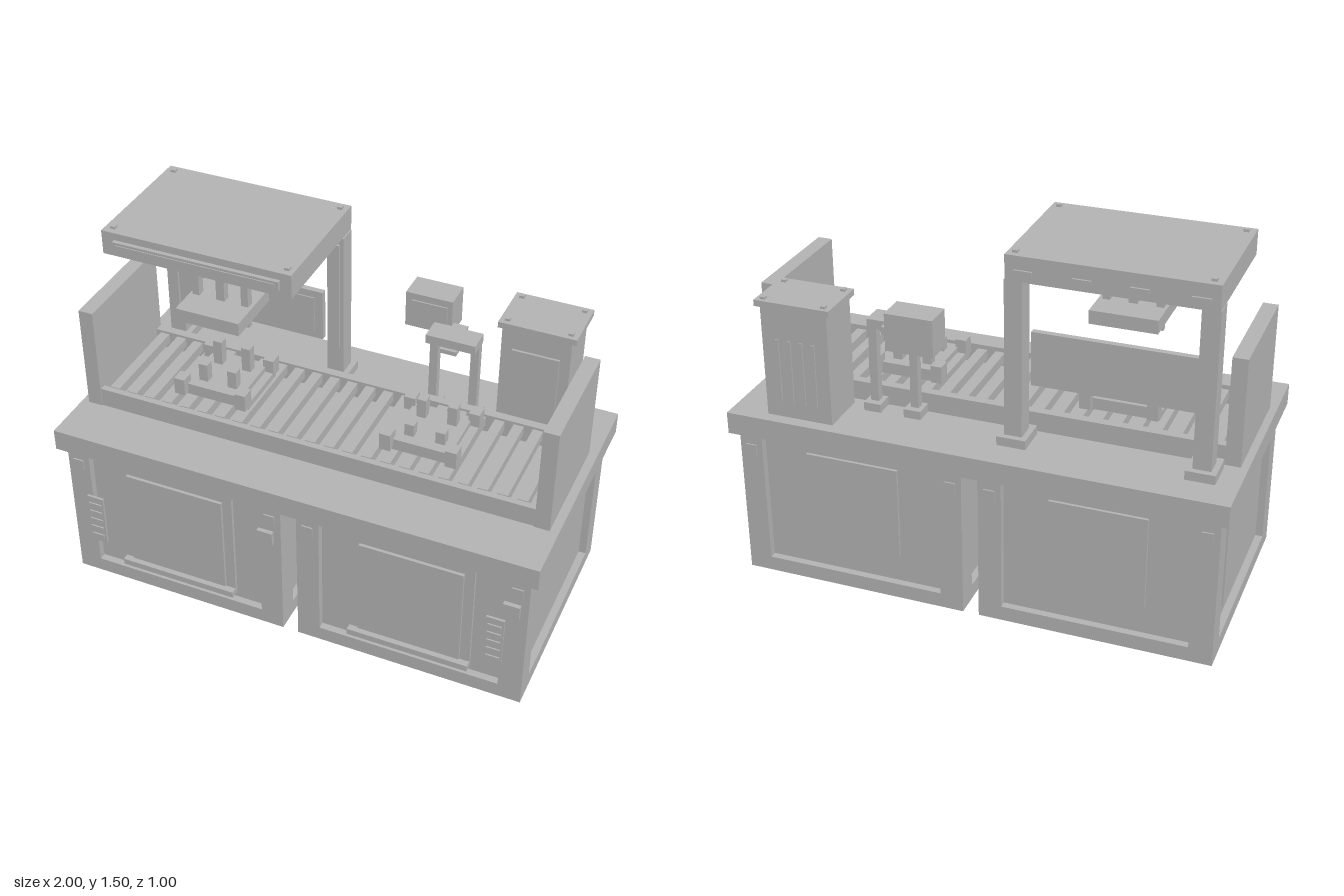
import * as THREE from 'three';

const grey = new THREE.MeshStandardMaterial({ color: 0xb2b2b2 });
grey.name = 'machineGrey';

// Box given by its extents on each axis
function box(parent, name, [x0, x1], [y0, y1], [z0, z1]) {
  const m = new THREE.Mesh(new THREE.BoxGeometry(x1 - x0, y1 - y0, z1 - z0), grey);
  m.position.set((x0 + x1) / 2, (y0 + y1) / 2, (z0 + z1) / 2);
  m.name = name;
  parent.add(m);
  return m;
}
const span = (c, w) => [c - w / 2, c + w / 2];

function group(parent, name) {
  const g = new THREE.Group();
  g.name = name;
  parent.add(g);
  return g;
}

// Cabinet with corner posts, recessed walls and a front door; s = outer side
function cabinet(root, s) {
  const g = group(root, s > 0 ? 'leftCabinet' : 'rightCabinet');
  g.position.x = s * 0.5;
  box(g, 'cabinetBody', [-0.437, 0.437], [0.03, 0.63], [-0.44, 0.44]);
  box(g, 'baseFrame', [-0.467, 0.467], [0, 0.062], [-0.47, 0.47]);
  for (const x of [-1, 1]) for (const z of [-1, 1]) {
    box(g, 'cornerPost', span(x * 0.42, 0.094), [0.062, 0.63], span(z * 0.4225, 0.095));
    box(g, 'postPlate', span(x * 0.42, 0.045), [0.535, 0.58], span(z * 0.472, 0.008));
  }
  box(g, 'doorFrame', [-0.25, 0.25], [0.09, 0.595], [0.44, 0.455]);
  box(g, 'doorPanel', [-0.21, 0.21], [0.125, 0.56], [0.45, 0.468]);
  box(g, 'doorSill', [-0.25, 0.25], [0.09, 0.117], [0.44, 0.483]);
  box(g, 'rearPlate', [-0.193, 0.193], [0.18, 0.57], [-0.452, -0.44]);
  // Lock box sits on the right-hand post of each cabinet
  box(g, 'lockBox', [0.372, 0.437], [0.442, 0.502], [0.44, 0.488]);
  // Control strip with ridges near the outer edge
  const cx = s * 0.35;
  box(g, 'controlStrip', span(cx, 0.072), [0.19, 0.42], [0.484, 0.494]);
  for (let i = 0; i < 5; i++)
    box(g, 'stripRidge', span(cx, 0.055), span(0.225 + i * 0.04, 0.012), [0.492, 0.5]);
  if (s < 0) box(g, 'sidePlate', [-0.449, -0.437], [0.12, 0.57], [-0.25, 0.21]);
}

// Pallet with corner stops and four pins
function fixture(root, cx, pinTop) {
  const g = group(root, 'fixture');
  g.position.set(cx, 0, 0.025);
  box(g, 'palletPlate', [-0.155, 0.155], [0.79, 0.815], [-0.125, 0.125]);
  box(g, 'palletBlock', [-0.12, 0.12], [0.815, 0.838], [-0.125, 0.125]);
  for (const x of [-1, 1]) for (const z of [-1, 1]) {
    box(g, 'cornerStop', span(x * 0.133, 0.045), [0.8, 0.872], span(z * 0.127, 0.055));
    const top = z > 0 ? pinTop - 0.03 : pinTop;
    box(g, 'locatorPin', span(x * 0.063, 0.038), [0.83, top], span(z * 0.063, 0.038));
  }
}

// Four small square bolts on a cover
function bolts(g, xs, zs, y) {
  for (const x of xs) for (const z of zs)
    box(g, 'bolt', span(x, 0.02), [y - 0.005, y + 0.01], span(z, 0.02));
}

export function createModel() {
  const root = new THREE.Group();
  root.name = 'workstation';

  // Base
  cabinet(root, -1);
  cabinet(root, 1);
  box(root, 'tableTop', [-1, 1], [0.63, 0.72], [-0.5, 0.5]);

  // Conveyor with slats and end walls
  const conveyor = group(root, 'conveyor');
  box(conveyor, 'frontRail', [-0.91, 0.905], [0.72, 0.8], [0.25, 0.276]);
  box(conveyor, 'rearRail', [-0.91, 0.905], [0.72, 0.8], [-0.218, -0.182]);
  for (let i = 0; i < 23; i++)
    box(conveyor, 'slat', span(-0.87 + i * 0.0778, 0.041), [0.75, 0.79], [-0.182, 0.235]);
  box(conveyor, 'rightEndWall', [-0.97, -0.91], [0.72, 1.16], [-0.218, 0.28]);
  box(conveyor, 'leftEndWall', [0.905, 0.965], [0.72, 1.16], [-0.218, 0.28]);
  fixture(root, -0.472, 0.945);
  fixture(root, 0.404, 0.92);

  // Press gantry
  const gantry = group(root, 'pressGantry');
  box(gantry, 'gantryTop', [-0.888, -0.1], [1.39, 1.49], [-0.355, 0.19]);
  box(gantry, 'underPlate', [-0.8, -0.19], [1.368, 1.39], [-0.235, 0.16]);
  bolts(gantry, [-0.853, -0.13], [-0.32, 0.155], 1.49);
  box(gantry, 'lightBar', [-0.835, -0.145], [1.422, 1.46], [0.19, 0.207]);
  box(gantry, 'lightStrip', [-0.82, -0.16], [1.432, 1.45], [0.205, 0.211]);
  for (const x of [-0.82, -0.6, -0.39, -0.17])
    box(gantry, 'rearTab', span(x, 0.07), [1.42, 1.437], [-0.363, -0.355]);
  for (const x of [-0.855, -0.13]) {
    box(gantry, 'gantryColumn', span(x, 0.07), [0.72, 1.39], [-0.348, -0.27]);
    box(gantry, 'columnStrip', span(x, 0.04), [0.875, 1.36], [-0.27, -0.258]);
    box(gantry, 'columnFoot', span(x, 0.115), [0.72, 0.757], [-0.372, -0.24]);
  }
  box(gantry, 'rearScreen', [-0.8, -0.165], [0.93, 1.15], [-0.25, -0.225]);
  box(gantry, 'screenInset', [-0.59, -0.2], [0.96, 1.12], [-0.225, -0.22]);

  // Press head
  const press = group(gantry, 'pressHead');
  for (const x of [-0.578, -0.368]) {
    box(press, 'rodFlange', span(x, 0.066), [1.348, 1.37], span(0.033, 0.066));
    box(press, 'guideRod', span(x, 0.03), [1.195, 1.35], span(0.033, 0.034));
    box(press, 'pressPin', span(x < -0.5 ? -0.58 : -0.365, 0.024), [1.103, 1.15], span(0.033, 0.024));
  }
  box(press, 'pressCylinder', span(-0.472, 0.035), [1.195, 1.33], span(0.033, 0.034));
  box(press, 'pressPlate', [-0.605, -0.337], [1.145, 1.2], [-0.1, 0.167]);
  box(press, 'pressPad', span(-0.472, 0.06), [1.134, 1.15], span(0.033, 0.06));

  // Monitor on a two-post stand
  const stand = group(root, 'monitorStand');
  for (const x of [0.305, 0.473]) {
    box(stand, 'standPost', span(x, 0.033), [0.72, 1.07], span(-0.25, 0.033));
    box(stand, 'standFoot', span(x, 0.07), [0.72, 0.755], span(-0.255, 0.078));
  }
  box(stand, 'standShelf', [0.288, 0.49], [1.07, 1.107], [-0.275, -0.18]);
  box(stand, 'sensor', [0.355, 0.42], [1.052, 1.07], [-0.23, -0.165]);
  box(stand, 'monitorNeck', [0.335, 0.415], [1.07, 1.1], [-0.31, -0.27]);
  box(stand, 'monitor', [0.162, 0.355], [1.055, 1.207], [-0.405, -0.287]);
  box(stand, 'monitorScreen', [0.188, 0.335], [1.087, 1.178], [-0.287, -0.281]);

  // Control tower
  const tower = group(root, 'controlTower');
  box(tower, 'towerBody', [0.57, 0.845], [0.72, 1.18], [-0.45, -0.25]);
  box(tower, 'towerCap', [0.555, 0.865], [1.18, 1.205], [-0.46, -0.237]);
  bolts(tower, [0.585, 0.835], [-0.435, -0.265], 1.205);
  box(tower, 'towerDoor', [0.615, 0.805], [0.845, 1.09], [-0.25, -0.24]);
  for (let i = 0; i < 4; i++)
    box(tower, 'ventRib', span(0.632 + i * 0.05, 0.012), [0.785, 1.05], [-0.456, -0.45]);

  return root;
}
